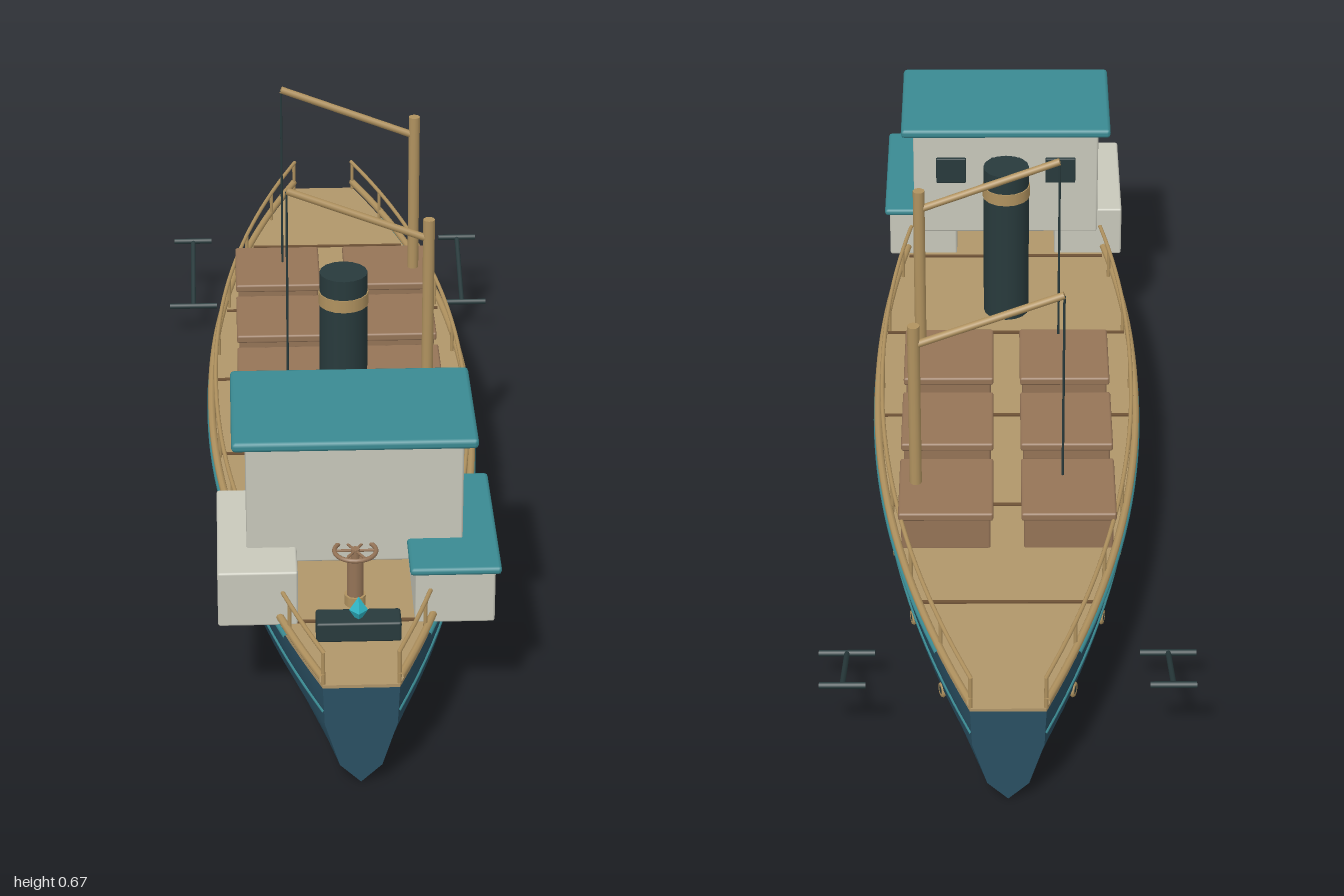
import * as THREE from 'three';
import { RoundedBoxGeometry } from 'three/addons/geometries/RoundedBoxGeometry.js';

export function createModel() {
  const model = new THREE.Group();
  model.name = 'cargoShip';
  const mat = (name, color, extra = {}) => {
    const m = new THREE.MeshStandardMaterial({ color, ...extra });
    m.name = name;
    return m;
  };
  const hullBlue = mat('hullBlue', 0x2a5063);
  const teal = mat('teal', 0x3a8a92);
  const deckTan = mat('deckTan', 0xb0966a);
  const woodTan = mat('woodTan', 0xb0925f);
  const crateBrown = mat('crateBrown', 0x957457);
  const seamBrown = mat('seamBrown', 0x6e5236);
  const wallGrey = mat('wallGrey', 0xc8c8bb);
  const iron = mat('iron', 0x283a3c);
  const crystalCyan = mat('crystalCyan', 0x2fb6c6, { flatShading: true });

  const add = (name, geo, material, x = 0, y = 0, z = 0) => {
    const m = new THREE.Mesh(geo, material);
    m.name = name;
    m.position.set(x, y, z);
    model.add(m);
    return m;
  };
  // Box given by its min and max corners
  const box = (name, material, [x0, y0, z0], [x1, y1, z1], r = 0.004) =>
    add(name, new RoundedBoxGeometry(x1 - x0, y1 - y0, z1 - z0, 1, r), material,
      (x0 + x1) / 2, (y0 + y1) / 2, (z0 + z1) / 2);
  // Cylinder between two points
  const rod = (name, material, a, b, r, sides = 10) => {
    const p = new THREE.Vector3(...a), d = new THREE.Vector3(...b).sub(p);
    const m = add(name, new THREE.CylinderGeometry(r, r, d.length(), sides), material);
    m.position.copy(p).addScaledVector(d, 0.5);
    m.quaternion.setFromUnitVectors(new THREE.Vector3(0, 1, 0), d.normalize());
    return m;
  };

  // Half width of the hull at deck level
  const halfWidth = z => 0.247 * (1 - 0.74 * Math.pow(Math.abs(z), 2.1));

  // Hull: one cross-section scaled along the length, with closed ends
  const half = [[1, 0.187], [0.95, 0.116], [0.555, 0.034]];
  const section = [...half, [0, 0], ...half.slice().reverse().map(([x, y]) => [-x, y])];
  const n = section.length, steps = 40, pos = [], idx = [];
  for (let i = 0; i <= steps; i++) {
    const z = -1 + 2 * i / steps;
    for (const [x, y] of section) pos.push(x * halfWidth(z), y, z);
  }
  for (let i = 0; i < steps; i++) {
    for (let j = 0; j < n - 1; j++) {
      const a = i * n + j, b = a + 1, c = a + n, d = c + 1;
      idx.push(a, b, c, b, d, c);
    }
  }
  const hullGeo = new THREE.BufferGeometry();
  hullGeo.setAttribute('position', new THREE.Float32BufferAttribute(pos, 3));
  hullGeo.setIndex(idx);
  hullGeo.computeVertexNormals();
  hullBlue.side = THREE.DoubleSide;
  add('hull', hullGeo, hullBlue);
  const endShape = new THREE.Shape(section.map(([x, y]) => new THREE.Vector2(x * halfWidth(1), y)));
  add('bowEnd', new THREE.ShapeGeometry(endShape), hullBlue, 0, 0, 1);
  add('sternEnd', new THREE.ShapeGeometry(endShape), hullBlue, 0, 0, -1);

  // Deck plate with cross seams
  const outline = [];
  for (let i = 0; i <= 40; i++) outline.push(new THREE.Vector2(halfWidth(-1 + i / 20), -1 + i / 20));
  for (let i = 40; i >= 0; i--) outline.push(new THREE.Vector2(-halfWidth(-1 + i / 20), -1 + i / 20));
  const deckGeo = new THREE.ExtrudeGeometry(new THREE.Shape(outline), { depth: 0.006, bevelEnabled: false });
  add('deck', deckGeo.rotateX(-Math.PI / 2), deckTan, 0, 0.187, 0);
  for (let i = 0; i < 6; i++) {
    const z = -0.7 + 0.3 * i;
    add('deckSeam', new THREE.BoxGeometry(halfWidth(z) * 1.94, 0.004, 0.007), seamBrown, 0, 0.194, z);
  }

  // Lines that follow the hull side
  const sideTube = (name, material, side, y, scale, zMax, r) => {
    const pts = [];
    for (let i = 0; i <= 24; i++) {
      const z = zMax * (-1 + i / 12);
      pts.push(new THREE.Vector3(side * halfWidth(z) * scale, y, z));
    }
    add(name, new THREE.TubeGeometry(new THREE.CatmullRomCurve3(pts), 48, r, 8), material);
  };
  for (const s of [-1, 1]) {
    sideTube('rubRail', teal, s, 0.188, 1.01, 0.84, 0.005);
    sideTube('hullStripe', teal, s, 0.14, 0.97, 1, 0.003);
    sideTube('gunwale', woodTan, s, 0.207, 0.995, 1, 0.007);
    sideTube('handrail', woodTan, s, 0.255, 0.96, 1, 0.004);
    for (const z of [-0.995, -0.84, -0.63, -0.42, -0.21, 0, 0.21, 0.42, 0.63, 0.84, 0.995]) {
      const x = s * halfWidth(z) * 0.96;
      rod('railPost', woodTan, [x, 0.19, z], [x, 0.255, z], 0.004, 6);
    }
    // Portholes
    for (let i = -4; i <= 3; i++) {
      const z = i * 0.21, x = s * halfWidth(z) * 0.945;
      const slope = (halfWidth(z + 0.01) - halfWidth(z - 0.01)) / 0.02;
      const yaw = Math.atan2(s, -slope);
      add('portholeRing', new THREE.TorusGeometry(0.01, 0.004, 6, 14), woodTan, x, 0.11, z).rotation.y = yaw;
      add('portholeGlass', new THREE.CylinderGeometry(0.009, 0.009, 0.006, 12).rotateX(Math.PI / 2),
        iron, x, 0.11, z).rotation.y = yaw;
    }
    // Anchors hanging clear of the hull
    const ax = s * 0.285;
    rod('anchorShank', iron, [ax, 0.135, -0.86], [ax, 0.068, -0.68], 0.005, 8);
    rod('anchorStock', iron, [ax - 0.04, 0.135, -0.86], [ax + 0.04, 0.135, -0.86], 0.006, 8);
    rod('anchorArm', iron, [ax - 0.05, 0.068, -0.68], [ax + 0.05, 0.068, -0.68], 0.006, 8);
  }

  // Wheelhouse and its side rooms
  box('wheelhouse', wallGrey, [-0.186, 0.265, 0.477], [0.186, 0.488, 0.72]);
  box('wheelhouseRoof', teal, [-0.21, 0.488, 0.46], [0.21, 0.506, 0.735], 0.007);
  for (const x of [-0.11, 0, 0.11])
    box('window', iron, [x - 0.03, 0.388, 0.459], [x + 0.03, 0.443, 0.467], 0.002);
  box('rightRoom', wallGrey, [-0.237, 0.19, 0.515], [-0.1, 0.295, 0.805]);
  box('leftRoom', wallGrey, [0.1, 0.19, 0.515], [0.237, 0.295, 0.805]);
  box('leftRoomRoof', teal, [0.09, 0.294, 0.49], [0.246, 0.308, 0.825], 0.006);

  // Funnel with its band
  rod('funnel', iron, [0, 0.25, 0.2], [0, 0.568, 0.2], 0.044, 16);
  rod('funnelBand', woodTan, [0, 0.506, 0.2], [0, 0.53, 0.2], 0.046, 16);

  // Cargo hatches, two rows of three
  for (const x of [-0.11, 0.11]) {
    for (const z of [-0.45, -0.225, 0]) {
      box('hatch', crateBrown, [x - 0.08, 0.19, z - 0.085], [x + 0.08, 0.258, z + 0.085]);
      box('hatchLid', crateBrown, [x - 0.085, 0.254, z - 0.09], [x + 0.085, 0.27, z + 0.09]);
    }
  }

  // Derricks
  for (const z of [-0.437, 0.048]) {
    rod('mast', woodTan, [0.165, 0.19, z], [0.165, 0.6, z], 0.011, 12);
    rod('boom', woodTan, [0.165, 0.56, z], [-0.1, 0.662, z], 0.007);
    rod('cable', iron, [-0.1, 0.66, z], [-0.1, 0.285, z], 0.0025, 6);
  }

  // Steering wheel on its pedestal
  rod('wheelPedestal', crateBrown, [0, 0.193, 0.74], [0, 0.285, 0.74], 0.015);
  rod('wheelBase', woodTan, [0, 0.193, 0.74], [0, 0.212, 0.74], 0.019);
  rod('wheelHub', crateBrown, [0, 0.283, 0.74], [0, 0.302, 0.74], 0.008);
  add('wheelRim', new THREE.TorusGeometry(0.036, 0.004, 8, 24).rotateX(Math.PI / 2), crateBrown, 0, 0.298, 0.74);
  for (let i = 0; i < 3; i++) {
    const c = 0.036 * Math.cos(i * Math.PI / 3), s = 0.036 * Math.sin(i * Math.PI / 3);
    rod('wheelSpoke', crateBrown, [-c, 0.298, 0.74 - s], [c, 0.298, 0.74 + s], 0.0025, 6);
  }

  // Bow console with crystal
  box('bowConsole', iron, [-0.072, 0.213, 0.85], [0.072, 0.25, 0.9]);
  add('crystal', new THREE.OctahedronGeometry(0.016).scale(1, 1.6, 1), crystalCyan, 0, 0.265, 0.88);

  return model;
}
